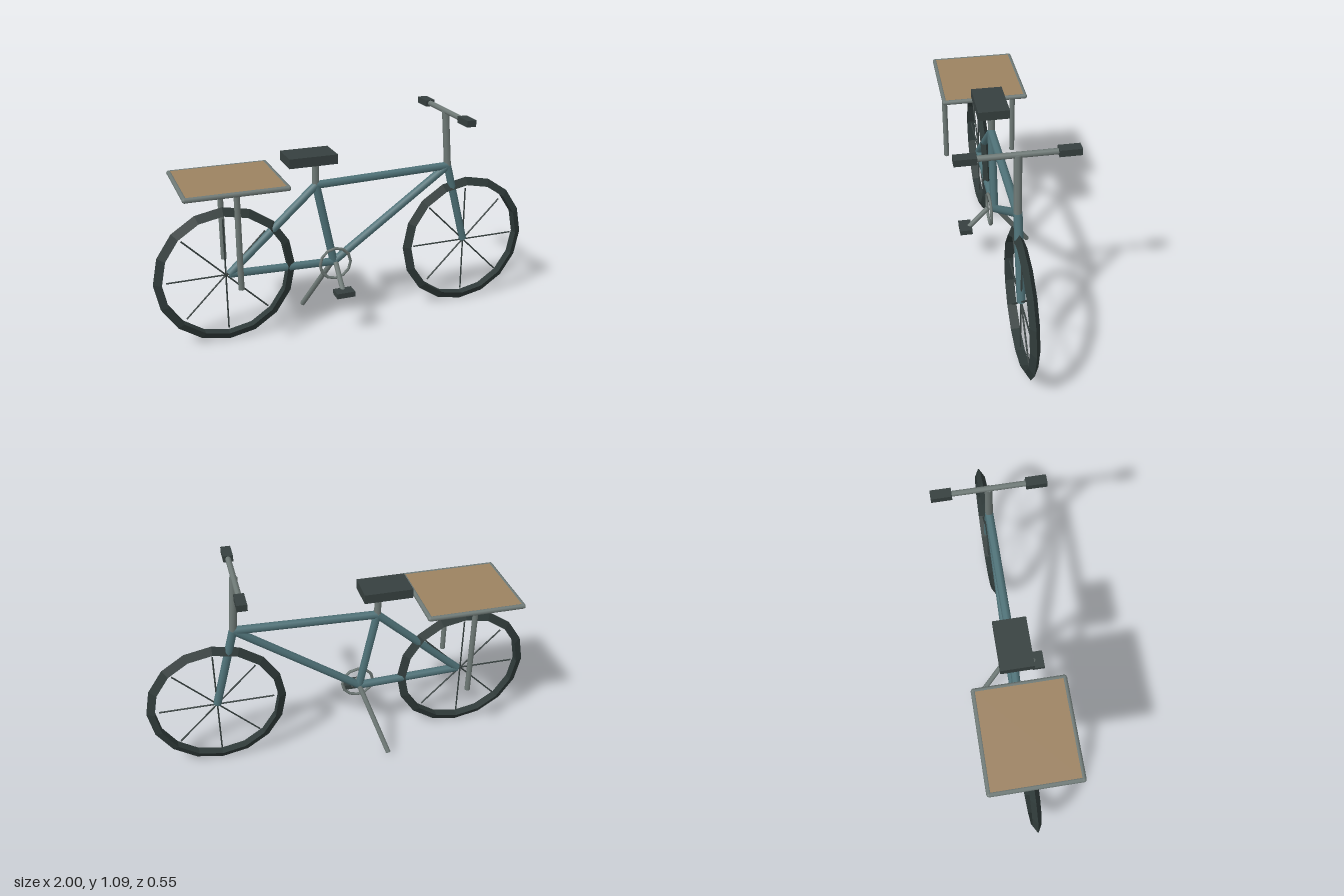
import * as THREE from 'three';

const paint = (color, flatShading = false) => new THREE.MeshStandardMaterial({ color, flatShading });

export function createModel() {
  const bike = new THREE.Group();
  const teal = paint(0x4f7278), metal = paint(0x6f7a77), dark = paint(0x36403f);
  const rubber = paint(0x2f3a39, true), wood = paint(0x9c8261);
  const v = (x, y, z = 0) => new THREE.Vector3(x, y, z);

  const add = (name, geometry, material, position, parent = bike) => {
    const mesh = new THREE.Mesh(geometry, material);
    mesh.name = name;
    mesh.position.copy(position);
    parent.add(mesh);
    return mesh;
  };
  // Round bar running between two points
  const bar = (name, a, b, radius, material, parent = bike) => {
    const dir = b.clone().sub(a);
    const mesh = add(name, new THREE.CylinderGeometry(radius, radius, dir.length(), 8), material,
      a.clone().add(b).multiplyScalar(0.5), parent);
    mesh.quaternion.setFromUnitVectors(v(0, 1), dir.normalize());
    return mesh;
  };
  const box = (name, w, h, d, material, position) =>
    add(name, new THREE.BoxGeometry(w, h, d), material, position);

  // Wheels: ridged tyre and eight thin spokes
  for (const [name, x] of [['rearWheel', -0.648], ['frontWheel', 0.648]]) {
    const wheel = new THREE.Group();
    wheel.name = name;
    wheel.position.set(x, 0.353, 0);
    bike.add(wheel);
    add('tyre', new THREE.TorusGeometry(0.326, 0.0265, 3, 16), rubber, v(0, 0), wheel);
    for (let i = 0; i < 4; i++) {
      const a = i * Math.PI / 4;
      const tip = v(Math.cos(a) * 0.29, Math.sin(a) * 0.29);
      bar('spokePair', tip.clone().negate(), tip, 0.004, dark, wheel);
    }
  }

  // Frame and fork
  const rearAxle = v(-0.63, 0.355), frontAxle = v(0.648, 0.355);
  const crankAxle = v(-0.09, 0.338), seatJoint = v(-0.178, 0.76), head = v(0.537, 0.78);
  const tubes = {
    chainStay: [rearAxle, crankAxle], seatStay: [rearAxle, seatJoint], seatTube: [crankAxle, seatJoint],
    topTube: [seatJoint, head], downTube: [crankAxle, head], fork: [head, frontAxle],
  };
  for (const [name, [a, b]] of Object.entries(tubes)) bar(name, a, b, 0.021, teal);

  // Saddle
  bar('seatPost', v(-0.18, 0.75), v(-0.18, 0.89), 0.018, metal);
  box('seat', 0.242, 0.047, 0.158, dark, v(-0.212, 0.905));

  // Steering
  bar('stem', head, v(0.513, 1.07), 0.019, metal);
  bar('handlebar', v(0.513, 1.07, -0.22), v(0.513, 1.07, 0.22), 0.014, metal);
  for (const s of [-1, 1]) box('grip', 0.048, 0.032, 0.1, dark, v(0.513, 1.07, s * 0.225));

  // Rear rack: board, rim tubes and two legs
  const rx = 0.237, rz = 0.211, rackX = -0.616, rackY = 0.835;
  box('rackBoard', rx * 2 + 0.004, 0.02, rz * 2 + 0.004, wood, v(rackX, rackY));
  for (const s of [-1, 1]) {
    bar('rackSideRim', v(rackX - rx, rackY, s * rz), v(rackX + rx, rackY, s * rz), 0.0125, metal);
    bar('rackEndRim', v(rackX + s * rx, rackY, -rz), v(rackX + s * rx, rackY, rz), 0.0125, metal);
    for (const t of [-1, 1])
      add('rackCorner', new THREE.SphereGeometry(0.0125, 8, 6), metal, v(rackX + s * rx, rackY, t * rz));
    bar('rackLeg', v(rackX, 0.355, s * 0.19), v(rackX, rackY, s * 0.19), 0.0145, metal);
  }

  // Drive side and kickstand
  add('chainring', new THREE.TorusGeometry(0.082, 0.008, 6, 12), metal, v(-0.09, 0.338, 0.028));
  bar('crankArm', v(-0.09, 0.345, 0.035), v(-0.09, 0.232, 0.14), 0.0135, metal);
  box('pedal', 0.094, 0.027, 0.065, dark, v(-0.09, 0.231, 0.157));
  bar('kickstand', v(-0.09, 0.338, -0.01), v(-0.2, 0.02, -0.202), 0.0135, metal);

  return bike;
}
